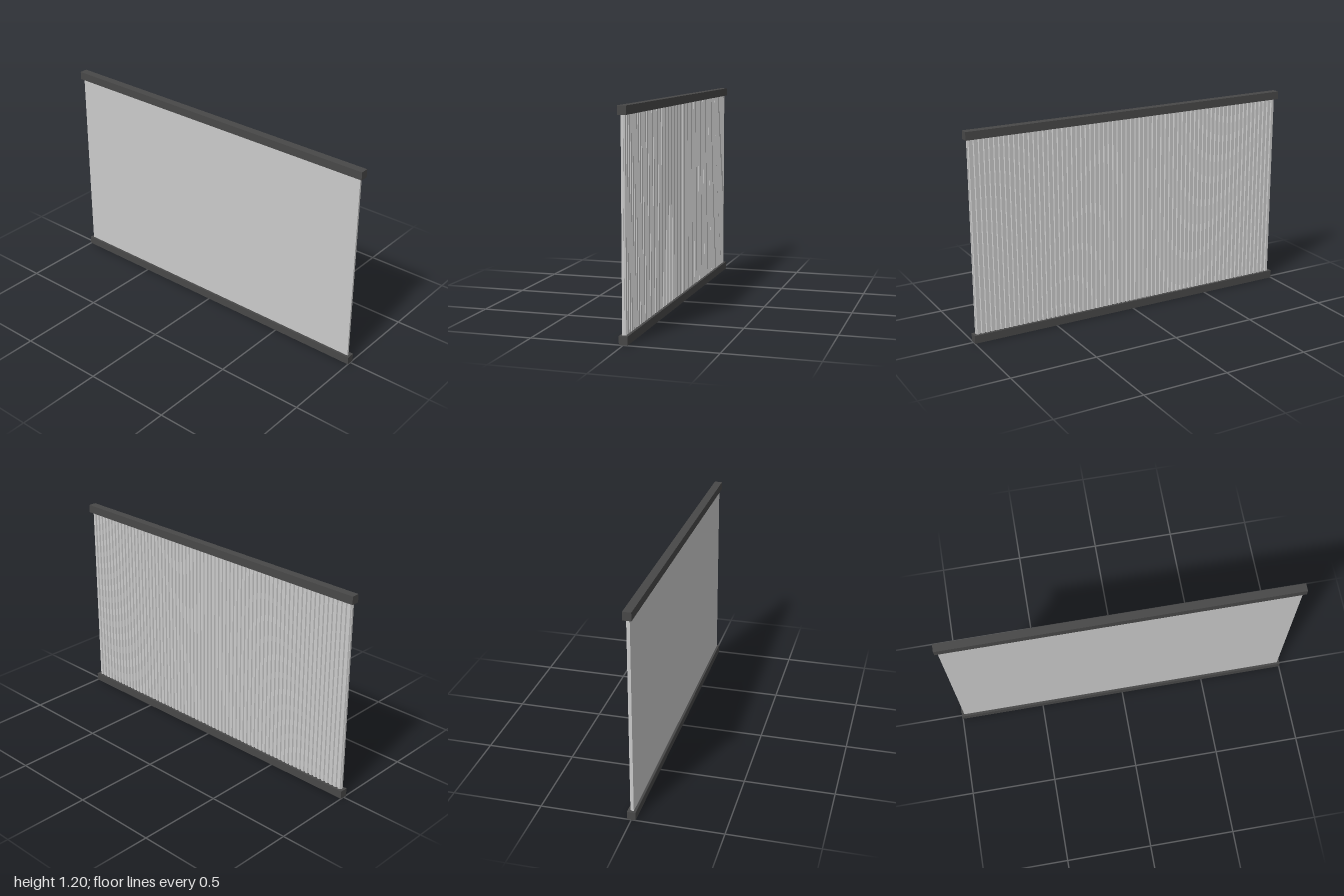
import * as THREE from 'three';

const LENGTH = 2, HEIGHT = 1.195, RAIL = 0.046;
const PANEL_LENGTH = 1.97, RIBS = 69;
const BACK = -0.01, GROOVE = 0.002, CROWN = 0.01;

export function createModel() {
  const group = new THREE.Group();
  const panelMat = new THREE.MeshStandardMaterial({ color: 0xcccccc, flatShading: true });
  const railMat = new THREE.MeshStandardMaterial({ color: 0x484848, flatShading: true });

  // Top and bottom rails
  for (const [name, y] of [['bottomRail', RAIL / 2], ['topRail', HEIGHT - RAIL / 2]]) {
    const rail = new THREE.Mesh(new THREE.BoxGeometry(RAIL, RAIL, LENGTH), railMat);
    rail.name = name;
    rail.position.y = y;
    group.add(rail);
  }

  // Panel: flat back, ribbed face on +x with narrow grooves between the ribs
  const half = PANEL_LENGTH / 2, pitch = PANEL_LENGTH / RIBS;
  const profile = new THREE.Shape();
  profile.moveTo(BACK, -half);
  for (let i = 0; i < RIBS; i++) {
    const start = -half + i * pitch;
    profile.lineTo(GROOVE, start);
    profile.lineTo(GROOVE, start + pitch * 0.12);
    profile.lineTo(CROWN, start + pitch * 0.22);
    profile.lineTo(CROWN, start + pitch * 0.78);
    profile.lineTo(GROOVE, start + pitch * 0.88);
  }
  profile.lineTo(GROOVE, half);
  profile.lineTo(BACK, half);

  const panelGeo = new THREE.ExtrudeGeometry(profile, { depth: HEIGHT - RAIL * 1.5, bevelEnabled: false });
  panelGeo.rotateX(-Math.PI / 2);
  const panel = new THREE.Mesh(panelGeo, panelMat);
  panel.name = 'ribbedPanel';
  panel.position.y = RAIL * 0.75;
  group.add(panel);

  return group;
}
